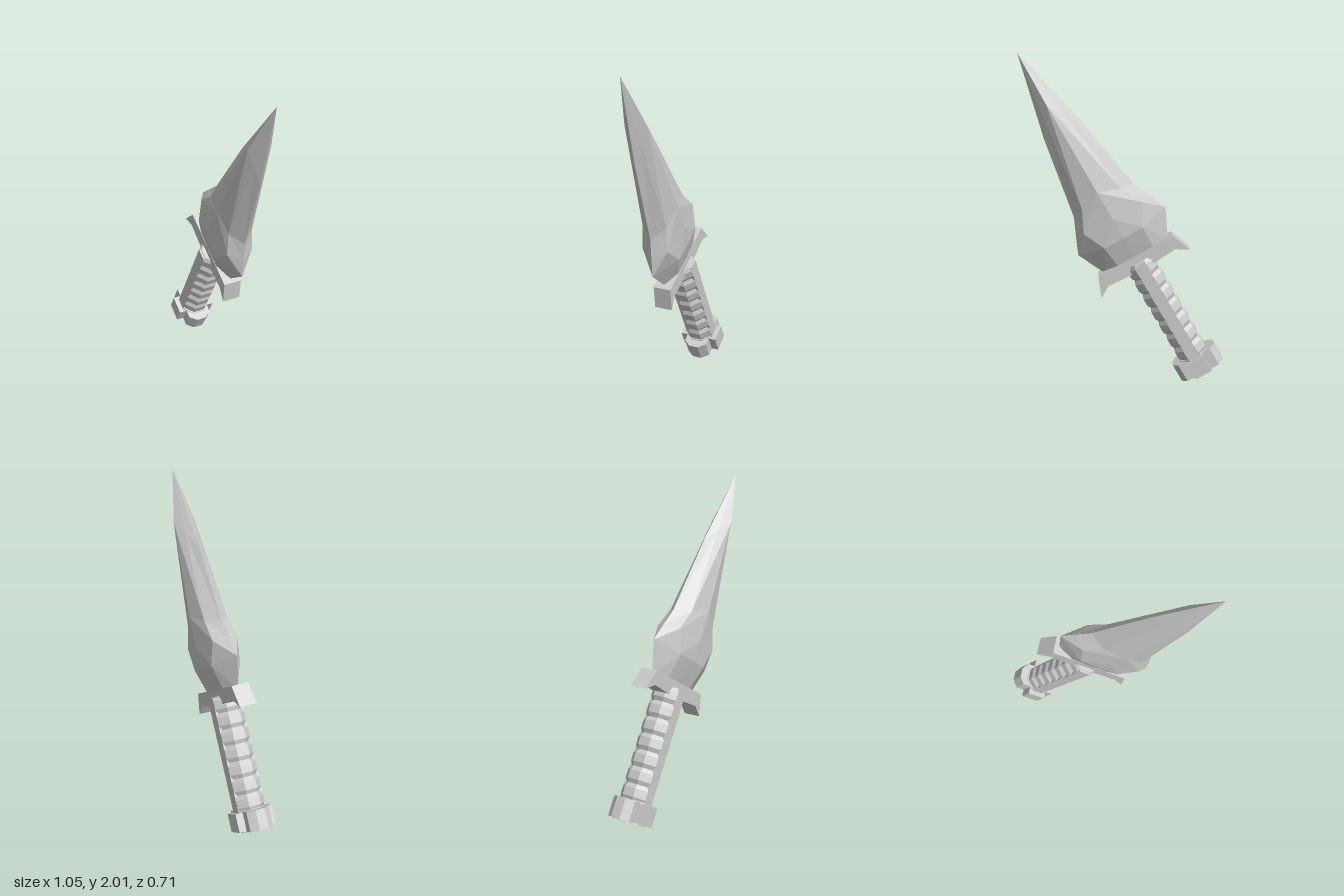
import * as THREE from 'three';

const mat = new THREE.MeshStandardMaterial({ color: 0xcccccc, flatShading: true });

function part(name, geometry, parent) {
  const mesh = new THREE.Mesh(geometry, mat);
  mesh.name = name;
  parent.add(mesh);
  return mesh;
}

// Prism from a 2D outline, centred on z
function prism(points, depth) {
  const shape = new THREE.Shape(points.map(([x, y]) => new THREE.Vector2(x, y)));
  return new THREE.ExtrudeGeometry(shape, { depth, bevelEnabled: false }).translate(0, 0, -depth / 2);
}

// Faceted blade: each row gives the edge, the shoulder facet and the centre ridge
function bladeGeometry() {
  // [edgeX, edgeY, shoulderX, shoulderY, shoulderZ, ridgeY, ridgeZ]
  const rows = [
    [0.215, 0.79, 0.12, 0.79, 0.045, 0.79, 0.047],
    [0.30, 0.975, 0.13, 0.955, 0.095, 0.955, 0.10],
    [0.255, 1.08, 0.195, 1.09, 0.08, 1.09, 0.108],
    [0.205, 1.19, 0.13, 1.22, 0.075, 1.27, 0.105],
    [0.12, 1.68, 0.06, 1.765, 0.038, 1.85, 0.07],
    [0, 2.18, 0, 2.18, 0, 2.18, 0],
  ];
  const position = [], index = [];
  for (const [ex, ey, sx, sy, sz, ry, rz] of rows) {
    position.push(
      -ex, ey, 0, -sx, sy, sz, 0, ry, rz, sx, sy, sz,
      ex, ey, 0, sx, sy, -sz, 0, ry, -rz, -sx, sy, -sz);
  }
  for (let r = 0; r < rows.length - 1; r++) {
    for (let i = 0; i < 8; i++) {
      const a = r * 8 + i, b = r * 8 + (i + 1) % 8;
      // Mirror the diagonals so both halves of the blade match
      const mirrored = i % 4 >= 2;
      if (r === rows.length - 2) index.push(a, b, b + 8);
      else if (mirrored) index.push(a, b, a + 8, b, b + 8, a + 8);
      else index.push(a, b, b + 8, a, b + 8, a + 8);
    }
  }
  const geometry = new THREE.BufferGeometry();
  geometry.setAttribute('position', new THREE.Float32BufferAttribute(position, 3));
  geometry.setIndex(index);
  geometry.computeVertexNormals();
  return geometry;
}

// Eight-sided grip wrapped in bulging rings
function gripGeometry() {
  const count = 7, start = 0.07, pitch = 0.1;
  const profile = [new THREE.Vector2(0, start)];
  for (let i = 0; i < count; i++) {
    const y = start + i * pitch;
    profile.push(
      new THREE.Vector2(0.084, y),
      new THREE.Vector2(0.099, y + pitch * 0.25),
      new THREE.Vector2(0.099, y + pitch * 0.75),
      new THREE.Vector2(0.084, y + pitch));
  }
  profile.push(new THREE.Vector2(0, start + count * pitch));
  return new THREE.LatheGeometry(profile, 8, Math.PI / 8);
}

export function createModel() {
  const model = new THREE.Group();
  model.name = 'dagger';

  // Built upright around its own axis, then leaned over
  const dagger = new THREE.Group();
  dagger.name = 'daggerBody';
  dagger.position.set(-0.394, 0.101, -0.223);
  dagger.rotation.set(0, THREE.MathUtils.degToRad(-32), THREE.MathUtils.degToRad(-29.4), 'YXZ');
  model.add(dagger);

  part('blade', bladeGeometry(), dagger);

  // Crossguard with flared ends and a hollowed underside
  part('guard', prism([
    [-0.305, 0.685], [-0.23, 0.73], [0, 0.715], [0.23, 0.73],
    [0.305, 0.685], [0.255, 0.812], [-0.255, 0.812],
  ], 0.11), dagger);

  part('grip', gripGeometry(), dagger);

  // Flat strips along the front and back of the grip
  for (const side of [-1, 1]) {
    const strip = part('gripStrip', new THREE.BoxGeometry(0.07, 0.69, 0.02), dagger);
    strip.position.set(0, 0.42, side * 0.082);
  }

  // Pommel: core, two side lobes and two front and back studs
  const pommel = new THREE.Group();
  pommel.name = 'pommel';
  dagger.add(pommel);
  part('pommelCore', new THREE.CylinderGeometry(0.1, 0.1, 0.13, 8).rotateY(Math.PI / 8).translate(0, 0.015, 0), pommel);
  for (const side of [-1, 1]) {
    const lobe = part('pommelLobe', prism([
      [0, -0.075], [0.11, -0.075], [0.145, -0.03], [0.145, 0.03], [0.11, 0.075], [0, 0.075],
    ], 0.12).rotateX(-Math.PI / 2), pommel);
    lobe.position.y = 0.015;
    lobe.rotation.y = side < 0 ? Math.PI : 0;
    const stud = part('pommelStud', new THREE.BoxGeometry(0.115, 0.11, 0.06), pommel);
    stud.position.set(0, 0.015, side * 0.092);
  }

  return model;
}
